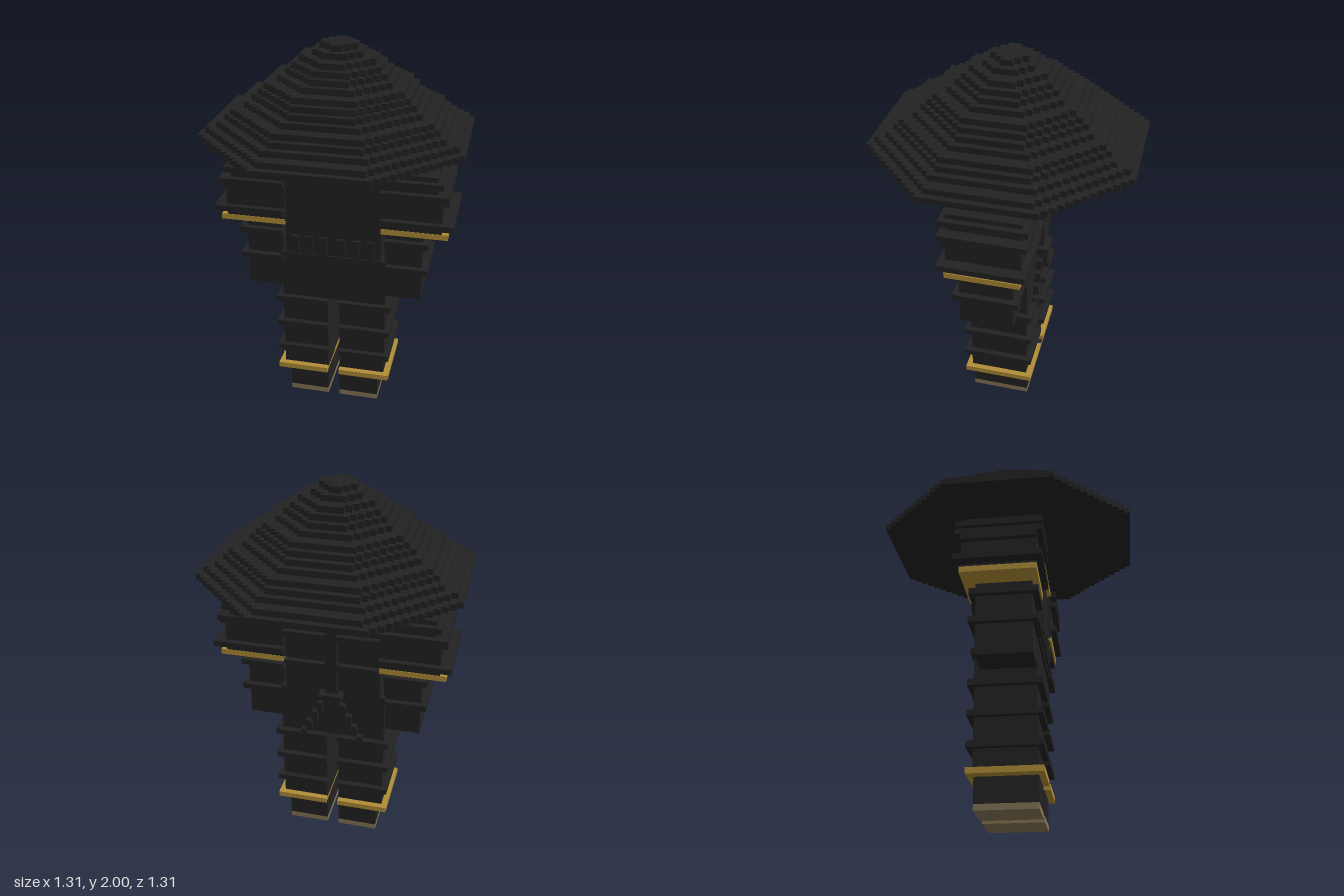
import * as THREE from 'three';

const S = 0.0308; // one block step

const dark = new THREE.MeshStandardMaterial({ color: 0x222222 });
dark.name = 'charcoal cloth';
const gold = new THREE.MeshStandardMaterial({ color: 0xb18e37 });
gold.name = 'gold trim';
const tan = new THREE.MeshStandardMaterial({ color: 0x857656 });
tan.name = 'tan sole';

// Box given by its limits on each axis
function box(parent, name, mat, [x0, x1], [y0, y1], [z0, z1]) {
  const mesh = new THREE.Mesh(new THREE.BoxGeometry(x1 - x0, y1 - y0, z1 - z0), mat);
  mesh.position.set((x0 + x1) / 2, (y0 + y1) / 2, (z0 + z1) / 2);
  mesh.name = name;
  parent.add(mesh);
  return mesh;
}

// Octagon whose diagonal sides are stepped like stairs
function steppedOctagon(r) {
  const n = Math.round((r * 0.573) / S);
  const corner = [];
  for (let i = 0; i <= n; i++) {
    const x = r - (n - i) * S, y = r - i * S;
    corner.push([x, y]);
    if (i < n) corner.push([x, y - S]);
  }
  const pts = [];
  const back = corner.slice().reverse();
  back.forEach(([x, y]) => pts.push(new THREE.Vector2(x, y)));
  corner.forEach(([x, y]) => pts.push(new THREE.Vector2(-x, y)));
  back.forEach(([x, y]) => pts.push(new THREE.Vector2(-x, -y)));
  corner.forEach(([x, y]) => pts.push(new THREE.Vector2(x, -y)));
  return new THREE.Shape(pts);
}

function makeHat() {
  const hat = new THREE.Group();
  hat.name = 'hat';
  const radii = [0.655, 0.624, 0.562, 0.53, 0.5, 0.438, 0.407, 0.376, 0.345, 0.283, 0.252, 0.22, 0.19, 0.125, 0.093];
  radii.forEach((r, i) => {
    const geo = new THREE.ExtrudeGeometry(steppedOctagon(r), { depth: S, bevelEnabled: false });
    geo.rotateX(-Math.PI / 2);
    const tier = new THREE.Mesh(geo, dark);
    tier.position.y = 2 - (radii.length - i) * S;
    tier.name = 'hatTier';
    hat.add(tier);
  });
  return hat;
}

function makeLeg(side) {
  const leg = new THREE.Group();
  leg.name = side > 0 ? 'leftLeg' : 'rightLeg';
  const X = (a, b) => (side > 0 ? [a, b] : [-b, -a]);
  box(leg, 'trouser', dark, X(0.032, 0.28), [0.18, 0.66], [-0.155, 0.155]);
  for (const y of [0.6, 0.443, 0.287])
    box(leg, 'wrap', dark, X(0.032, 0.31), [y, y + S], [-0.186, 0.186]);
  box(leg, 'cuff', gold, X(0.032, 0.31), [0.16, 0.19], [-0.186, 0.186]);
  box(leg, 'boot', dark, X(0.032, 0.248), [0.031, 0.165], [-0.155, 0.155]);
  box(leg, 'sole', tan, X(0.032, 0.248), [0, 0.031], [-0.155, 0.155]);
  return leg;
}

function makeArm(side) {
  const arm = new THREE.Group();
  arm.name = side > 0 ? 'leftArm' : 'rightArm';
  const X = (a, b) => (side > 0 ? [a, b] : [-b, -a]);
  box(arm, 'shoulder', dark, X(0.25, 0.53), [1.22, 1.405], [-0.186, 0.186]);
  box(arm, 'sleeve', dark, X(0.25, 0.56), [1.09, 1.26], [-0.186, 0.186]);
  // Sleeve ridges: bottom, top, outer limit
  for (const [y0, y1, x] of [[1.35, 1.38, 0.56], [1.255, 1.315, 0.59], [1.13, 1.16, 0.62]])
    box(arm, 'sleeveRidge', dark, X(0.25, x), [y1 - S, y1], [-0.217, 0.217]),
    box(arm, 'ridgeSide', dark, X(0.5, x), [y0, y1], [-0.186, 0.186]);
  box(arm, 'sleeveTrim', gold, X(0.252, 0.592), [1.07, 1.1], [-0.188, 0.188]);
  // Forearm with two wrapped bands
  box(arm, 'forearm', dark, X(0.27, 0.465), [0.69, 1.08], [-0.125, 0.155]);
  for (const y of [1.0, 0.85])
    box(arm, 'wristBand', dark, X(0.27, 0.497), [y, y + S], [-0.155, 0.186]);
  return arm;
}

function makeTorso() {
  const torso = new THREE.Group();
  torso.name = 'torso';
  box(torso, 'chest', dark, [-0.252, 0.252], [0.85, 1.405], [-0.155, 0.17]);
  box(torso, 'hips', dark, [-0.28, 0.28], [0.63, 0.9], [-0.155, 0.157]);
  box(torso, 'collar', gold, [-0.25, 0.25], [1.35, 1.38], [-0.188, 0.188]);
  // Belt pouches
  for (const x of [0.05, 0.125, 0.2])
    for (const s of [-1, 1])
      box(torso, 'pouch', dark, [s * x - 0.02, s * x + 0.02], [0.91, 1.01], [0.15, 0.187]);
  box(torso, 'beltEdge', dark, [-0.28, 0.28], [0.88, 0.905], [0.1, 0.18]);
  // Back strap, knot and two stepped tails
  box(torso, 'backStrap', dark, [-0.031, 0.031], [0.9, 1.35], [-0.186, -0.15]);
  box(torso, 'knot', dark, [-0.062, 0.062], [0.88, 0.91], [-0.217, -0.15]);
  for (const y of [1.22, 1.05])
    box(torso, 'backBand', dark, [-0.25, 0.25], [y, y + S], [-0.186, -0.15]);
  for (const s of [-1, 1])
    for (let i = 0; i < 5; i++) {
      const x = s * (0.031 + i * S), y = 0.9 - i * 2 * S;
      box(torso, 'sashTail', dark, [x - S / 2, x + S / 2], [y - 2 * S, y], [-0.186, -0.15]);
    }
  return torso;
}

function makeHead() {
  const head = new THREE.Group();
  head.name = 'head';
  box(head, 'skull', dark, [-0.186, 0.186], [1.39, 1.55], [-0.124, 0.124]);
  box(head, 'mask', dark, [-0.155, 0.186], [1.44, 1.535], [0.11, 0.155]);
  return head;
}

export function createModel() {
  const model = new THREE.Group();
  model.name = 'hatWearer';
  model.add(makeHat(), makeHead(), makeTorso());
  for (const side of [1, -1]) model.add(makeArm(side), makeLeg(side));
  return model;
}
